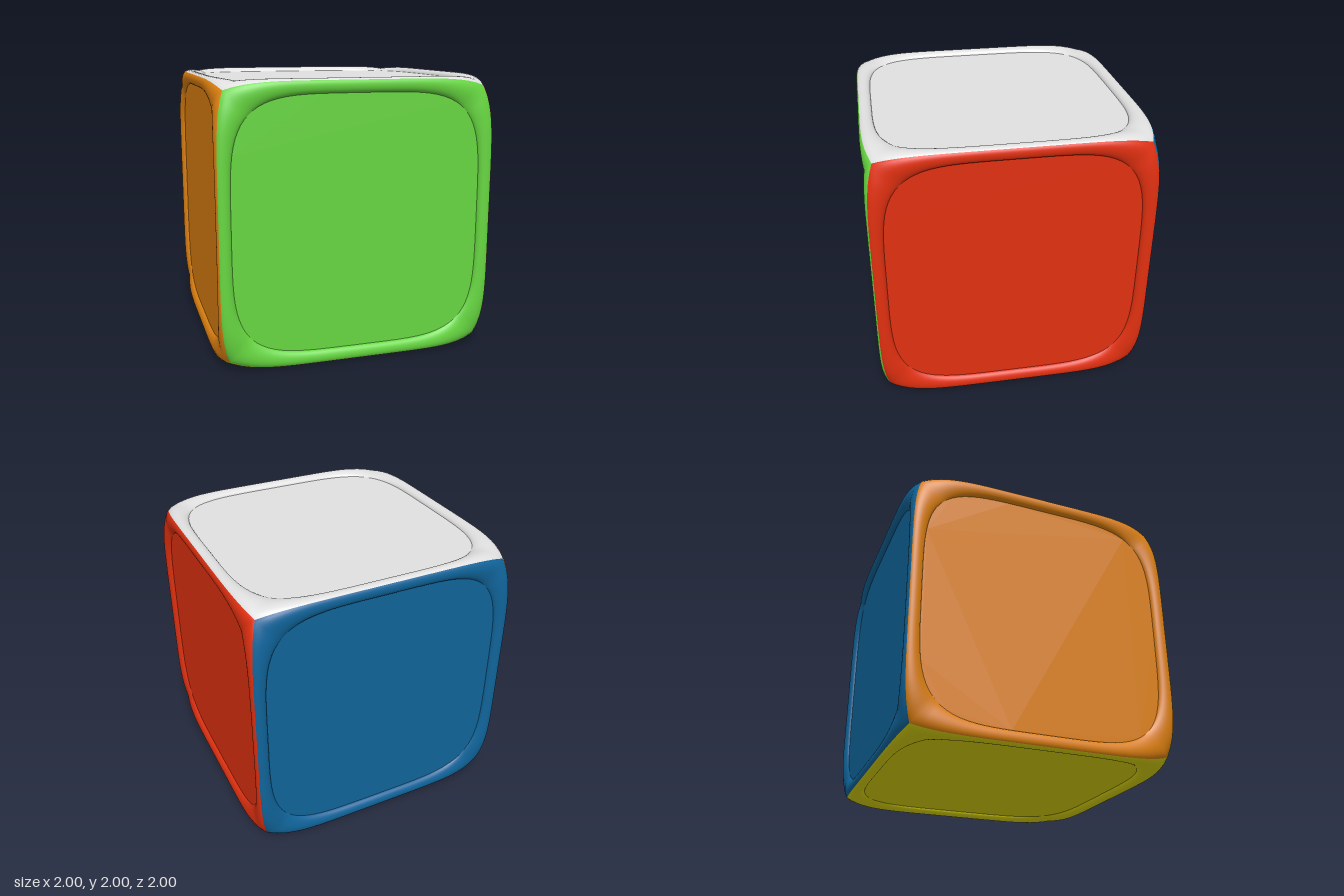
import * as THREE from 'three';

const SEG = 28;      // steps along each side of a face
const RINGS = 12;    // steps across the rim
const PANEL_Z = 0.965;

// Unit directions "outward" and "along" for the four sides of a face
const SIDES = [[1, 0], [0, 1], [-1, 0], [0, -1]];

// Half-width of a panel measured towards the side, at position v (-1..1) along it
const panelReach = v => 0.9 / Math.pow(1 + Math.pow(Math.abs(v), 4.5), 1 / 4.5);

// One rim section: a curve from the panel edge, over the crest, to the seam with the next face
function rimSection(side, v) {
  const [ox, oy] = SIDES[side];
  const place = (out, along, z) => new THREE.Vector3(out * ox - along * oy, out * oy + along * ox, z);
  const b = Math.pow(Math.abs(v), 4);              // 0 at mid side, 1 at the corner
  const k = Math.sign(v) * Math.pow(Math.abs(v), 5);
  const r = panelReach(v);
  const seam = 0.988 - 0.058 * Math.pow(Math.abs(v), 6);
  const inner = place(r, r * v, PANEL_Z);
  const outer = place(seam, 0.93 * v, seam);
  const rise = place(0.005 + 0.015 * b, (0.005 + 0.015 * b) * v, 0.035 - 0.012 * b);
  const tangent = place(1, k, -1 - k * k).normalize();
  const curve = new THREE.CubicBezierCurve3(
    inner, inner.clone().add(rise),
    outer.clone().addScaledVector(tangent, -(0.033 + 0.057 * b)), outer);
  return { points: curve.getPoints(RINGS), normal: place(1, k, 1).normalize() };
}

function allSections() {
  const sections = [];
  for (let s = 0; s < 4; s++) {
    for (let j = 0; j < SEG; j++) sections.push(rimSection(s, -1 + 2 * j / SEG));
  }
  return sections;
}

// Raised rim, smooth across the seams to the neighbouring faces
function rimGeometry(sections) {
  const row = RINGS + 1, positions = [], index = [];
  sections.forEach(({ points }, c) => {
    points.forEach(p => positions.push(p.x, p.y, p.z));
    const a = c * row, b = ((c + 1) % sections.length) * row;
    for (let i = 0; i < RINGS; i++) {
      index.push(a + i, a + i + 1, b + i + 1, a + i, b + i + 1, b + i);
    }
  });
  const geometry = new THREE.BufferGeometry();
  geometry.setAttribute('position', new THREE.Float32BufferAttribute(positions, 3));
  geometry.setIndex(index);
  geometry.computeVertexNormals();
  sections.forEach(({ normal: n }, c) =>
    geometry.attributes.normal.setXYZ(c * row + RINGS, n.x, n.y, n.z));
  return geometry;
}

// Flat recessed panel
function panelGeometry(sections) {
  const shape = new THREE.Shape(sections.map(({ points }) => new THREE.Vector2(points[0].x, points[0].y)));
  return new THREE.ShapeGeometry(shape).translate(0, 0, PANEL_Z);
}

export function createModel() {
  const model = new THREE.Group();
  model.name = 'colouredCube';

  const sections = allSections();
  const rim = rimGeometry(sections);
  const panel = panelGeometry(sections);
  const q = Math.PI / 2;

  // name, colour name, colour, x turn, y turn
  const faces = [
    ['front', 'green', 0x66d640, 0, 0],
    ['left', 'red', 0xe03010, 0, q],
    ['back', 'blue', 0x10649a, 0, 2 * q],
    ['right', 'orange', 0xdd8010, 0, -q],
    ['top', 'white', 0xe0e0e0, -q, 0],
    ['bottom', 'yellow', 0xdcd60e, q, 0],
  ];
  for (const [name, colourName, color, rx, ry] of faces) {
    const material = new THREE.MeshStandardMaterial({ color });
    material.name = colourName;
    const face = new THREE.Group();
    face.name = name + 'Face';
    const rimMesh = new THREE.Mesh(rim, material);
    rimMesh.name = name + 'Rim';
    const panelMesh = new THREE.Mesh(panel, material);
    panelMesh.name = name + 'Panel';
    face.add(rimMesh, panelMesh);
    face.rotation.set(rx, ry, 0);
    face.position.y = 1;
    model.add(face);
  }
  return model;
}
